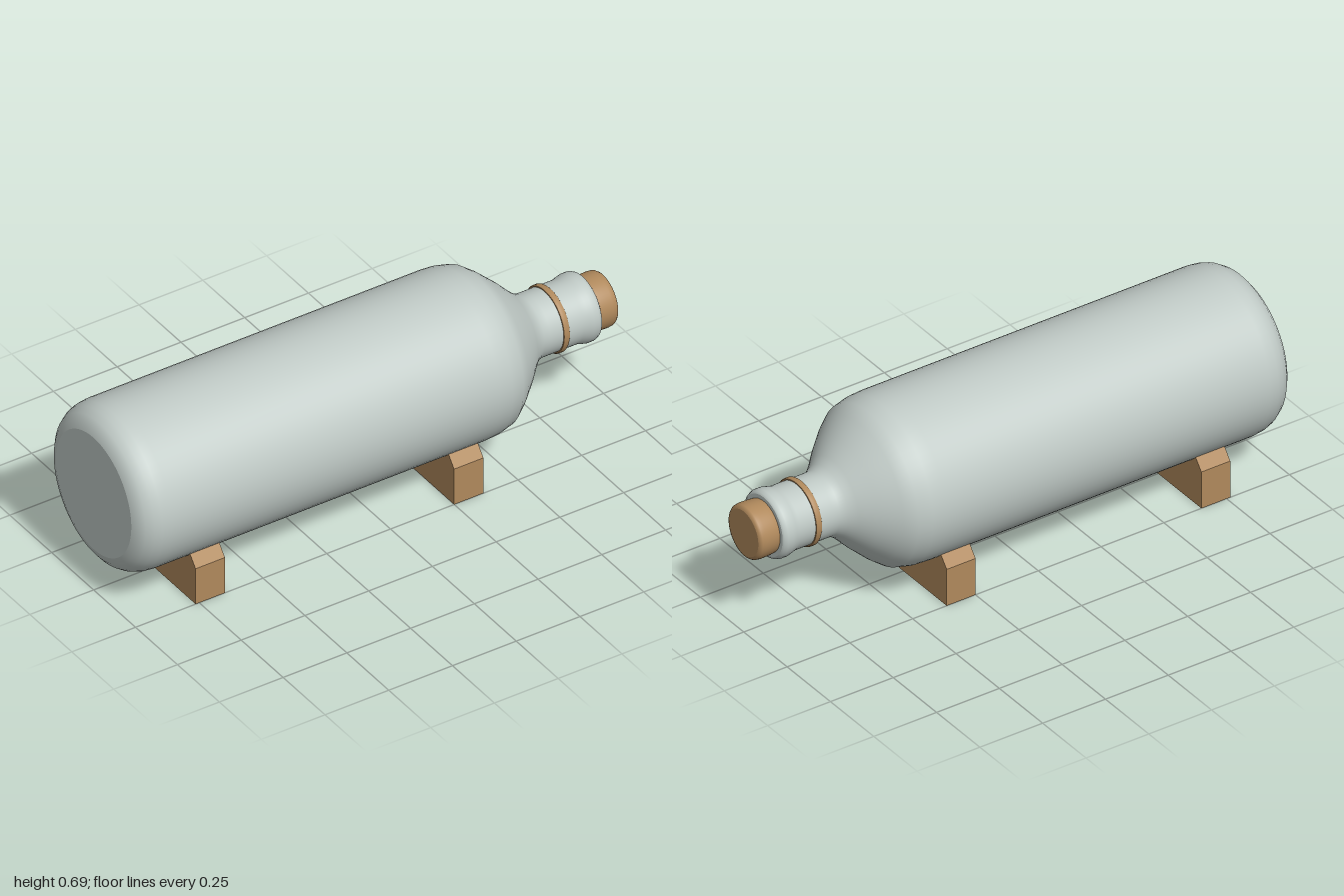
import * as THREE from 'three';

const glass = new THREE.MeshStandardMaterial({ color: 0xc0cac6 });
glass.name = 'paleGlass';
const wood = new THREE.MeshStandardMaterial({ color: 0xb0895c });
wood.name = 'wood';

const AXIS_Y = 0.39; // height of the bottle's axis
const RADIUS = 0.3;

// Solid of revolution about the x axis; profile points are [x, radius].
// A repeated point makes a sharp edge.
function turned(name, profile, material) {
  const points = profile.map(([x, r]) => new THREE.Vector2(r, x));
  const geometry = new THREE.LatheGeometry(points, 64);
  geometry.rotateZ(-Math.PI / 2);
  const mesh = new THREE.Mesh(geometry, material);
  mesh.name = name;
  mesh.position.y = AXIS_Y;
  return mesh;
}

// Cradle block with chamfered shoulders and a round cut for the bottle
function stand(name, x) {
  const width = 0.115;
  const tipZ = 0.217;
  const angle = Math.acos(tipZ / RADIUS);
  const shape = new THREE.Shape();
  shape.moveTo(-0.25, 0);
  shape.lineTo(0.25, 0);
  shape.lineTo(0.25, 0.143);
  shape.lineTo(tipZ, AXIS_Y - RADIUS * Math.sin(angle));
  shape.absarc(0, AXIS_Y, RADIUS, -angle, -Math.PI + angle, true);
  shape.lineTo(-0.25, 0.143);
  const geometry = new THREE.ExtrudeGeometry(shape, { depth: width, bevelEnabled: false, curveSegments: 32 });
  geometry.translate(0, 0, -width / 2);
  geometry.rotateY(Math.PI / 2);
  const mesh = new THREE.Mesh(geometry, wood);
  mesh.name = name;
  mesh.position.x = x;
  return mesh;
}

export function createModel() {
  const model = new THREE.Group();
  model.name = 'bottleOnStands';

  // Flat base, straight body, sloping shoulder, neck and lip
  model.add(turned('bottle', [
    [-1, 0], [-1, 0.225], [-1, 0.225],
    [-0.992, 0.25], [-0.975, 0.272], [-0.95, 0.288], [-0.925, 0.296], [-0.89, RADIUS],
    [0.4, RADIUS], [0.45, 0.297], [0.5, 0.285], [0.54, 0.255], [0.6, 0.199],
    [0.645, 0.151], [0.67, 0.128], [0.695, 0.114], [0.72, 0.113],
    [0.85, 0.113], [0.868, 0.118], [0.885, 0.122], [0.905, 0.122], [0.917, 0.117],
    [0.921, 0.11], [0.921, 0.11], [0.921, 0],
  ], glass));

  // Band round the neck
  model.add(turned('neckBand', [
    [0.769, 0.11], [0.769, 0.117], [0.769, 0.117], [0.773, 0.12],
    [0.787, 0.12], [0.791, 0.117], [0.791, 0.117], [0.791, 0.11],
  ], wood));

  // Stopper
  model.add(turned('cork', [
    [0.91, 0.093], [0.925, 0.096], [0.94, 0.098], [0.975, 0.099],
    [0.99, 0.097], [0.997, 0.092], [1, 0.084], [1, 0.084], [1, 0],
  ], wood));

  model.add(stand('baseStand', -0.707), stand('shoulderStand', 0.307));
  return model;
}
